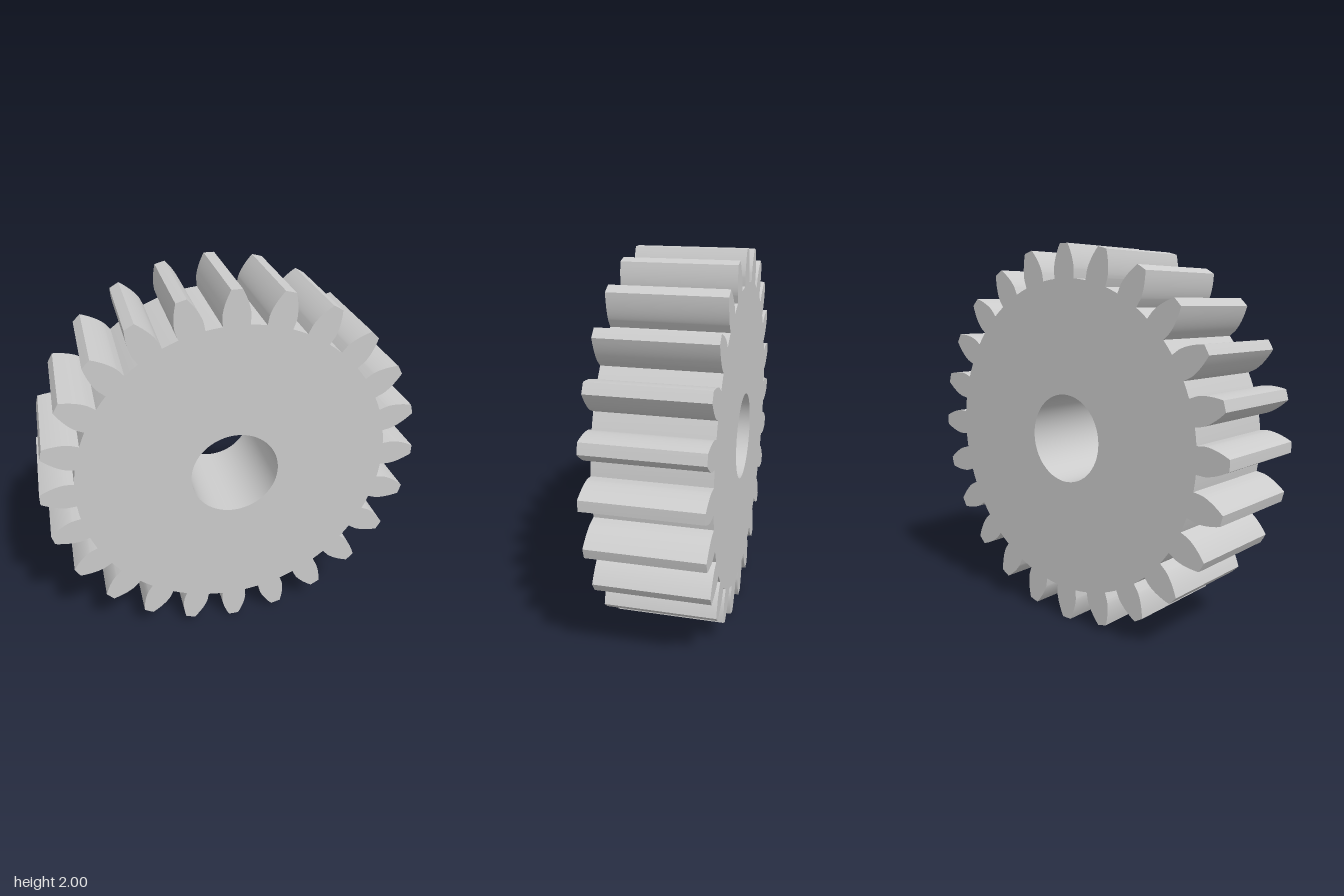
import * as THREE from 'three';
import { toCreasedNormals } from 'three/addons/utils/BufferGeometryUtils.js';

const TEETH = 24;
const TIP_RADIUS = 1;
const MODULE = (2 * TIP_RADIUS) / (TEETH + 2);
const PITCH_RADIUS = (MODULE * TEETH) / 2;
const ROOT_RADIUS = PITCH_RADIUS - 1.25 * MODULE;
const PRESSURE_ANGLE = THREE.MathUtils.degToRad(20);
const BASE_RADIUS = PITCH_RADIUS * Math.cos(PRESSURE_ANGLE);
const BORE_RADIUS = 0.233;
const WIDTH = 0.575;
const FLANK_STEPS = 10;

const involute = (a) => Math.tan(a) - a;

// Half the angle a tooth spans at radius r: involute above the base circle, radial below
function halfAngle(r) {
  const a = Math.acos(Math.min(1, BASE_RADIUS / r));
  return Math.PI / (2 * TEETH) + involute(PRESSURE_ANGLE) - involute(a);
}

function gearShape() {
  // One flank from root to tip as [radius, half angle]
  const flank = [[ROOT_RADIUS, halfAngle(BASE_RADIUS)]];
  for (let i = 0; i <= FLANK_STEPS; i++) {
    const r = BASE_RADIUS + (TIP_RADIUS - BASE_RADIUS) * (i / FLANK_STEPS) ** 1.5;
    flank.push([r, halfAngle(r)]);
  }

  const points = [];
  const add = (r, angle) => points.push(new THREE.Vector2(r * Math.cos(angle), r * Math.sin(angle)));
  const pitch = (2 * Math.PI) / TEETH;
  for (let t = 0; t < TEETH; t++) {
    const centre = t * pitch;
    for (const [r, h] of flank) add(r, centre - h);
    add(TIP_RADIUS, centre);
    for (const [r, h] of [...flank].reverse()) add(r, centre + h);
    add(ROOT_RADIUS, centre + pitch / 2); // middle of the gap
  }

  const shape = new THREE.Shape(points);
  // Shaft bore
  const bore = [];
  for (let i = 0; i < 72; i++) {
    const a = (-i / 72) * 2 * Math.PI;
    bore.push(new THREE.Vector2(BORE_RADIUS * Math.cos(a), BORE_RADIUS * Math.sin(a)));
  }
  shape.holes.push(new THREE.Path(bore));
  return shape;
}

export function createModel() {
  const model = new THREE.Group();
  model.name = 'spurGear';

  // Toothed wheel with smooth flanks and bore, sharp rims
  const geometry = new THREE.ExtrudeGeometry(gearShape(), { depth: WIDTH, bevelEnabled: false });
  geometry.translate(0, TIP_RADIUS, -WIDTH / 2);
  const wheel = new THREE.Mesh(
    toCreasedNormals(geometry, 0.5),
    new THREE.MeshStandardMaterial({ color: 0xcccccc })
  );
  wheel.name = 'gearWheel';
  model.add(wheel);
  return model;
}
